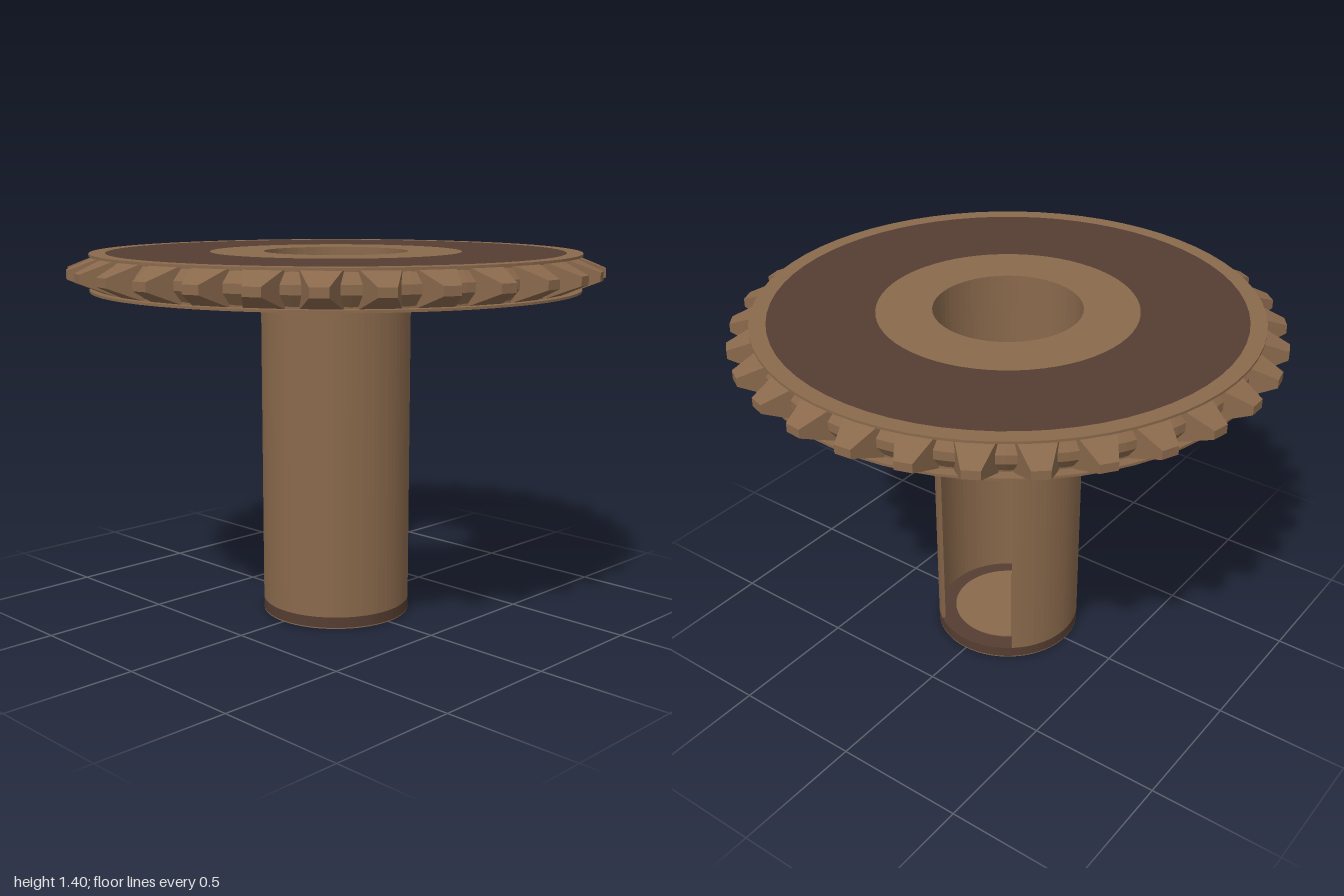
import * as THREE from 'three';

const SIDES = 64;
const TUBE_R = 0.285, BORE_R = 0.272, RIM_R = 0.92;
const WHEEL_BOTTOM = 1.26, WHEEL_TOP = 1.4, WHEEL_MID = 1.33;

const wood = new THREE.MeshStandardMaterial({ name: 'light brown', color: 0x8a694c });
const darkWood = new THREE.MeshStandardMaterial({ name: 'dark brown', color: 0x553d31 });

function addMesh(parent, name, geometry, material) {
  const mesh = new THREE.Mesh(geometry, material);
  mesh.name = name;
  parent.add(mesh);
  return mesh;
}

// Stand a flat shape up as a slab between two heights
function slab(shape, y0, y1) {
  const geo = new THREE.ExtrudeGeometry(shape, {
    depth: y1 - y0, bevelEnabled: false, curveSegments: SIDES / 2,
  });
  geo.rotateX(-Math.PI / 2);
  geo.translate(0, y0, 0);
  return geo;
}

function ring(inner, outer, y0, y1) {
  const shape = new THREE.Shape().absarc(0, 0, outer, 0, Math.PI * 2, false);
  if (inner > 0) {
    shape.holes.push(new THREE.Path().absarc(0, 0, inner, 0, Math.PI * 2, true));
  }
  return slab(shape, y0, y1);
}

// Thin-walled tube with a tall slot at the back
function slottedTube() {
  const a0 = THREE.MathUtils.degToRad(129.375);
  const a1 = THREE.MathUtils.degToRad(416.25);
  const shape = new THREE.Shape();
  shape.absarc(0, 0, TUBE_R, a0, a1, false);
  shape.absarc(0, 0, BORE_R, a1, a0, true);
  shape.closePath();
  return slab(shape, 0.045, WHEEL_BOTTOM);
}

// Tooth tapering outward in both width and height
function toothGeometry() {
  const inner = 0.88, tip = 1.002;
  const geo = new THREE.BoxGeometry(2, 2, 1);
  const pos = geo.attributes.position;
  for (let i = 0; i < pos.count; i++) {
    const out = pos.getZ(i) > 0;
    pos.setXYZ(i,
      pos.getX(i) * (out ? 0.031 : 0.07),
      pos.getY(i) * (out ? 0.016 : 0.064),
      out ? tip : inner);
  }
  geo.computeVertexNormals();
  return geo;
}

export function createModel() {
  const model = new THREE.Group();
  model.name = 'gearSpool';

  // Base with a pale floor disc and underside
  addMesh(model, 'base', ring(0, TUBE_R, 0.004, 0.045), darkWood);
  addMesh(model, 'baseUnderside', ring(0, TUBE_R, 0, 0.004), wood);
  addMesh(model, 'floorDisc', ring(0, 0.215, 0.045, 0.049), wood);

  addMesh(model, 'tube', slottedTube(), wood);

  // Wheel: core between two thin plates
  const wheel = new THREE.Group();
  wheel.name = 'wheel';
  model.add(wheel);
  addMesh(wheel, 'lowerPlate', ring(BORE_R, RIM_R, WHEEL_BOTTOM, 1.269), wood);
  addMesh(wheel, 'core', ring(BORE_R, 0.885, 1.269, 1.391), wood);
  addMesh(wheel, 'hubRing', ring(BORE_R, 0.475, 1.391, WHEEL_TOP), wood);
  addMesh(wheel, 'darkBand', ring(0.475, 0.86, 1.391, WHEEL_TOP), darkWood);
  addMesh(wheel, 'rimRing', ring(0.86, RIM_R, 1.391, WHEEL_TOP), wood);

  // Bevelled ridge seen between the teeth
  const ridge = new THREE.LatheGeometry([
    [0.88, 1.269], [0.912, 1.314], [0.912, 1.346], [0.88, 1.391],
  ].map(([r, y]) => new THREE.Vector2(r, y)), 60).toNonIndexed();
  ridge.computeVertexNormals();
  addMesh(wheel, 'valleyRidge', ridge, wood);

  // Thirty teeth around the rim
  const tooth = toothGeometry();
  for (let i = 0; i < 30; i++) {
    const mesh = addMesh(wheel, 'tooth', tooth, wood);
    mesh.position.y = WHEEL_MID;
    mesh.rotation.y = ((i + 0.5) / 30) * Math.PI * 2;
  }

  return model;
}
